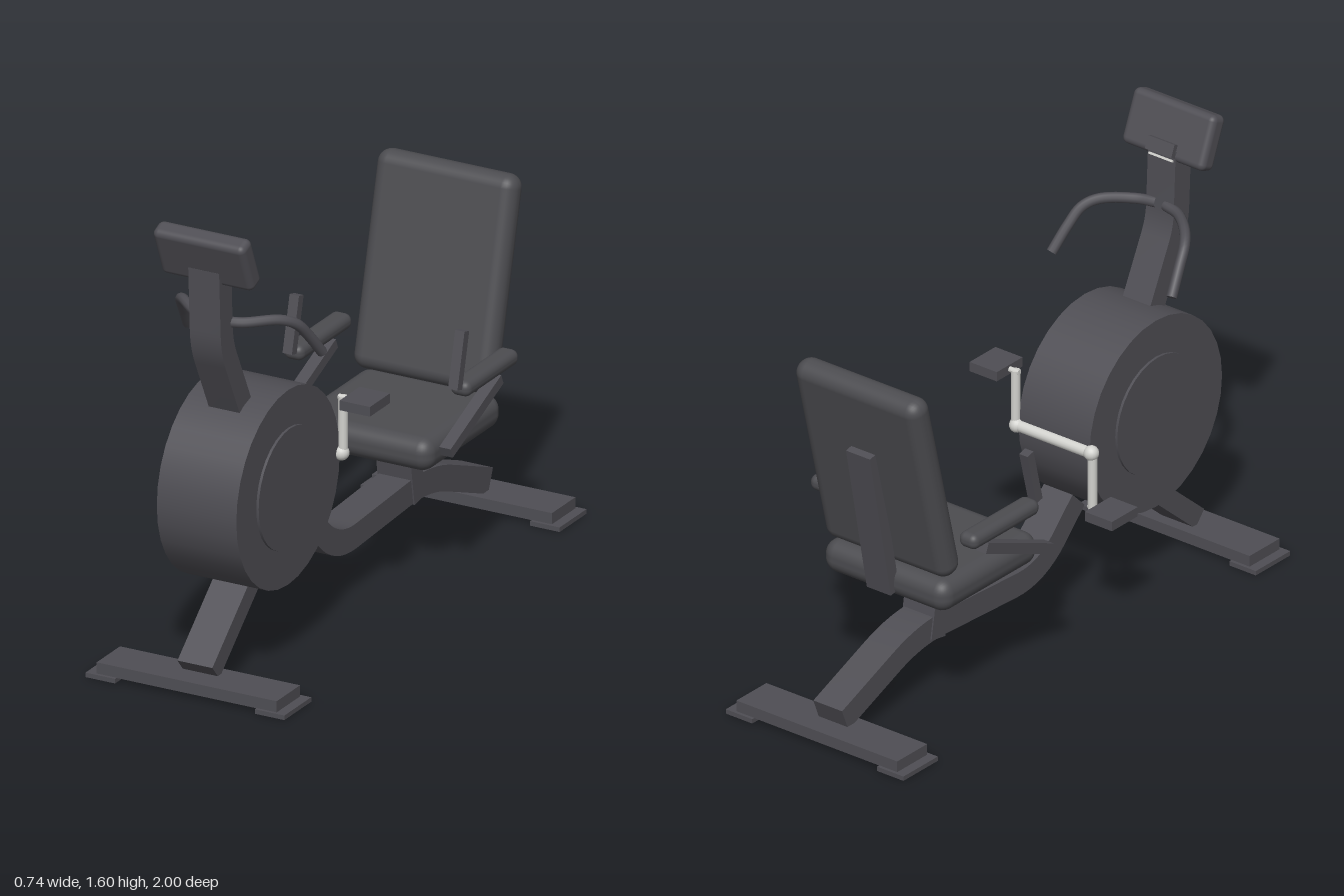
import * as THREE from 'three';
import { toCreasedNormals } from 'three/addons/utils/BufferGeometryUtils.js';
import { RoundedBoxGeometry } from 'three/addons/geometries/RoundedBoxGeometry.js';

export function createModel() {
  const model = new THREE.Group();
  model.name = 'recumbentExerciseBike';

  const material = (name, color) => Object.assign(new THREE.MeshStandardMaterial({ color }), { name });
  const frame = material('charcoal frame', 0x4f4e54);
  const padding = material('dark padding', 0x4c4c50);
  const silver = material('silver metal', 0xd2d2ce);

  const add = (name, geometry, mat, x = 0, y = 0, z = 0, parent = model) => {
    const mesh = new THREE.Mesh(geometry, mat);
    mesh.name = name;
    mesh.position.set(x, y, z);
    parent.add(mesh);
    return mesh;
  };
  const box = (w, h, d) => new THREE.BoxGeometry(w, h, d);
  const pad = (w, h, d, r) => new RoundedBoxGeometry(w, h, d, 4, r);

  // Rectangular tube along [z, y] points, with corners rounded over a given reach
  function beam(name, points, thickness, width, x = 0, reach = 0.1) {
    const pts = points.map(p => new THREE.Vector2(...p));
    const path = new THREE.Path();
    path.moveTo(pts[0].x, pts[0].y);
    for (let i = 1; i < pts.length - 1; i++) {
      const before = pts[i - 1].clone().sub(pts[i]).setLength(reach).add(pts[i]);
      const after = pts[i + 1].clone().sub(pts[i]).setLength(reach).add(pts[i]);
      path.lineTo(before.x, before.y);
      path.quadraticCurveTo(pts[i].x, pts[i].y, after.x, after.y);
    }
    const last = pts[pts.length - 1];
    path.lineTo(last.x, last.y);
    const line = path.getPoints(8);
    const side = sign => line.map((p, i) => {
      const t = line[Math.min(i + 1, line.length - 1)].clone().sub(line[Math.max(i - 1, 0)]).normalize();
      return new THREE.Vector2(p.x - t.y * sign * thickness / 2, p.y + t.x * sign * thickness / 2);
    });
    const shape = new THREE.Shape([...side(1), ...side(-1).reverse()]);
    const geo = new THREE.ExtrudeGeometry(shape, { depth: width, bevelEnabled: false });
    geo.translate(0, 0, -width / 2).rotateY(-Math.PI / 2);
    return add(name, toCreasedNormals(geo, 0.5), frame, x);
  }

  // Floor stabilisers with end feet
  for (const [name, z] of [['front', 0.91], ['rear', -0.91]]) {
    add(name + 'Stabiliser', box(0.67, 0.04, 0.155), frame, 0, 0.035, z);
    for (const s of [-1, 1]) add(name + 'Foot', box(0.11, 0.016, 0.178), frame, s * 0.315, 0.008, z);
  }

  // Frame tubes
  beam('frontLeg', [[0.91, 0.07], [0.56, 0.373]], 0.07, 0.13);
  beam('mainRail', [[0.29, 0.395], [0.1, 0.205], [-0.525, 0.238], [-0.915, 0.083]], 0.088, 0.12, 0, 0.13);
  beam('seatPost', [[-0.40, 0.43], [-0.44, 0.19]], 0.072, 0.13);
  beam('consoleColumn', [[0.835, 1.46], [0.822, 1.18], [0.665, 0.86]], 0.08, 0.115, 0, 0.06);
  beam('backrestStrut', [[-0.753, 0.985], [-0.645, 0.44]], 0.045, 0.1);

  // Flywheel housing and its raised side covers
  const drum = (r, w, n) => new THREE.CylinderGeometry(r, r, w, n).rotateZ(Math.PI / 2);
  add('flywheelHousing', drum(0.342, 0.296, 32), frame, 0, 0.62, 0.58);
  add('flywheelCovers', drum(0.21, 0.314, 32), frame, 0, 0.62, 0.58);

  // Seat and reclined backrest
  add('seatCushion', pad(0.52, 0.115, 0.5, 0.05), padding, 0, 0.472, -0.4);
  add('backrest', pad(0.52, 0.73, 0.097, 0.046), padding, 0, 0.896, -0.675).rotation.x = -0.244;

  // Console with a small ledge on the rider's side
  const consoleBox = add('console', pad(0.342, 0.19, 0.07, 0.022), frame, 0, 1.503, 0.855);
  consoleBox.rotation.x = 0.39;
  add('consoleLedge', box(0.11, 0.045, 0.02), frame, 0, -0.06, -0.043, consoleBox);
  add('consoleTrim', box(0.1, 0.007, 0.03), silver, 0, -0.095, -0.02, consoleBox);

  // Crank axle
  add('crankAxle', drum(0.02, 0.32, 16), silver, 0, 0.62, 0.238);

  for (const s of [-1, 1]) {
    // Armrest, its sloping brace and upright grip
    add('armrest', pad(0.075, 0.055, 0.345, 0.025), padding, s * 0.31, 0.692, -0.43);
    beam('armrestBrace', [[-0.18, 0.5], [-0.515, 0.64]], 0.037, 0.043, s * 0.308);
    beam('sideGrip', [[-0.287, 0.89], [-0.24, 0.7]], 0.032, 0.035, s * 0.308);

    // Handlebar with a closed end
    const bar = new THREE.CatmullRomCurve3([
      [0.02, 1.255, 0.79], [0.085, 1.255, 0.77], [0.18, 1.255, 0.69],
      [0.215, 1.232, 0.645], [0.232, 1.18, 0.597], [0.25, 1.1, 0.535],
    ].map(([x, y, z]) => new THREE.Vector3(s * x, y, z)));
    add('handlebar', new THREE.TubeGeometry(bar, 32, 0.018, 10), frame);
    const end = bar.getPoint(1);
    add('handlebarEnd', new THREE.CircleGeometry(0.018, 10), frame, end.x, end.y, end.z)
      .lookAt(end.clone().add(bar.getTangent(1)));

    // Crank arm and pedal: left one up, right one down
    const pedalY = 0.62 + s * 0.195;
    add('crankHub', new THREE.SphereGeometry(0.026, 16, 12), silver, s * 0.155, 0.62, 0.238);
    add('crankArm', new THREE.CylinderGeometry(0.016, 0.016, 0.2, 12), silver, s * 0.16, 0.62 + s * 0.1, 0.238);
    add('pedalSpindle', drum(0.01, 0.06, 10), silver, s * 0.175, pedalY, 0.238);
    add('pedal', box(0.113, 0.034, 0.133), frame, s * 0.24, pedalY, 0.236);
  }
  return model;
}
